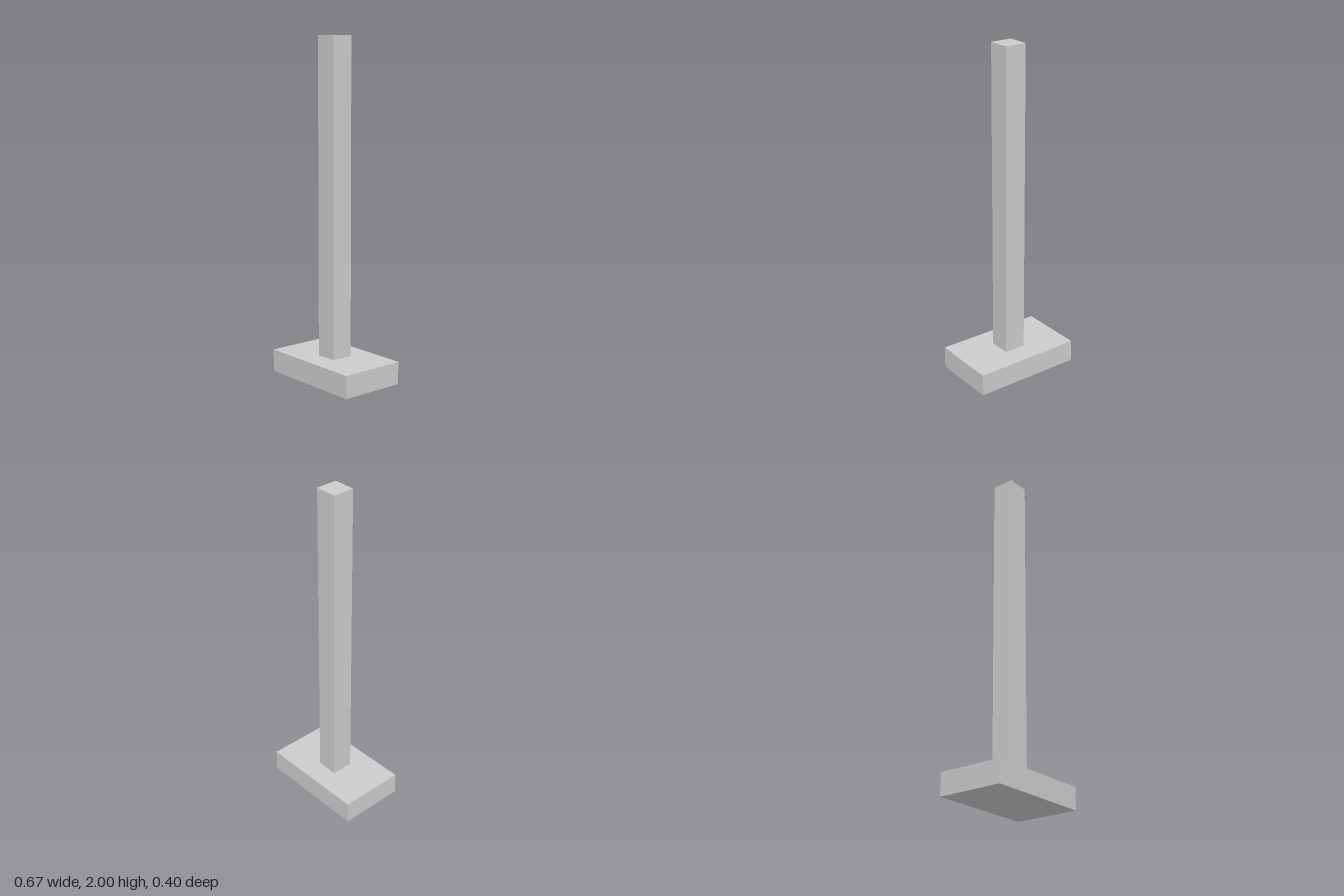
import * as THREE from 'three';

const UNIT = 2 / 15; // post thickness; every other size is a multiple of it

export function createModel() {
  const model = new THREE.Group();
  const material = new THREE.MeshStandardMaterial({ color: 0xcccccc, flatShading: true });

  // Adds a box whose underside sits at the given height
  const addBlock = (name, width, height, depth, bottom) => {
    const mesh = new THREE.Mesh(new THREE.BoxGeometry(width, height, depth), material);
    mesh.name = name;
    mesh.position.y = bottom + height / 2;
    model.add(mesh);
  };

  // Flat rectangular foot
  addBlock('base', 5 * UNIT, UNIT, 3 * UNIT, 0);
  // Tall square post standing on the foot
  addBlock('post', UNIT, 14 * UNIT, UNIT, UNIT);

  return model;
}
